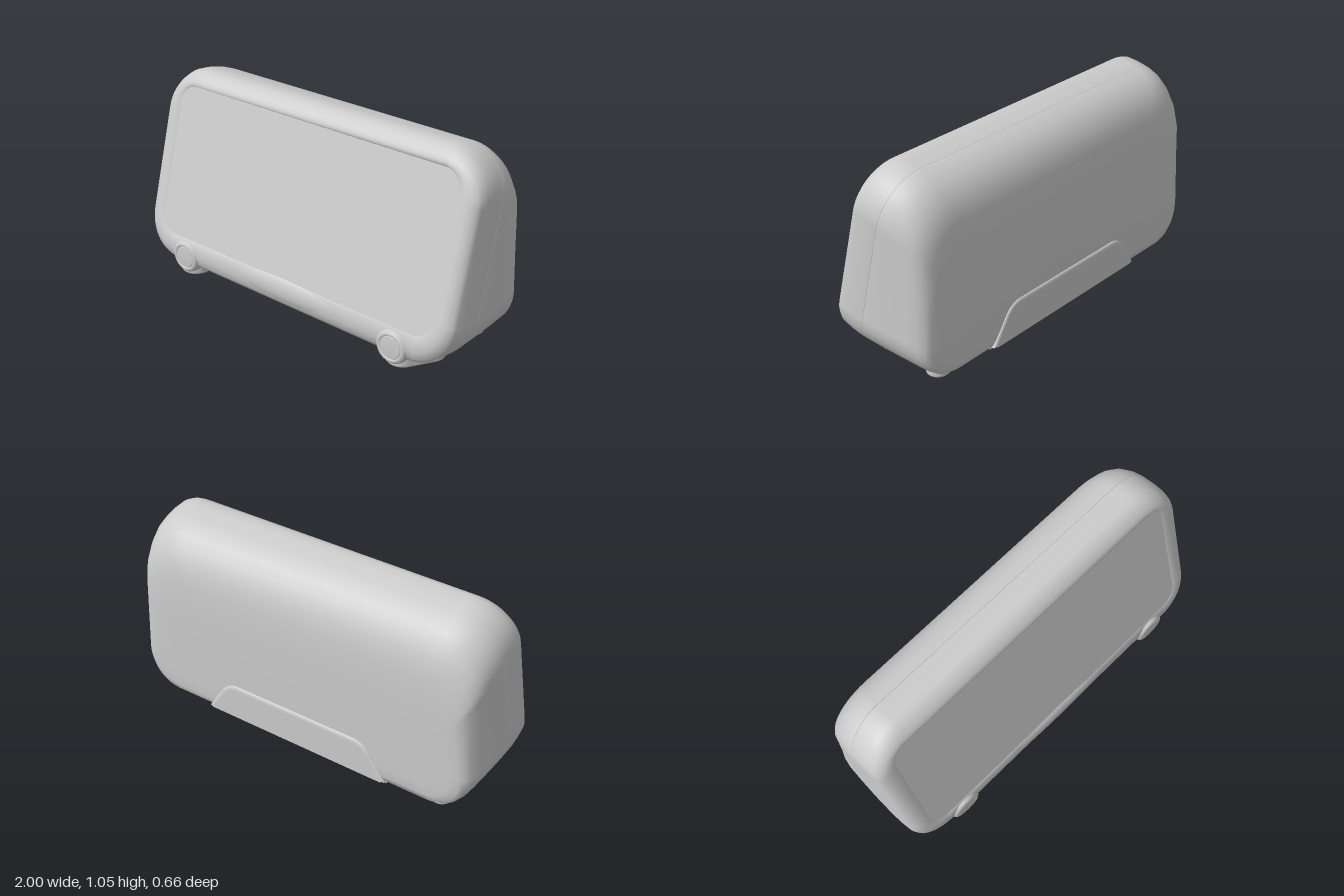
import * as THREE from 'three';

const CORNER = 12; // segments per rounded corner

// Rounded loop on a slanted plane. s: yb,zb = bottom edge; yt,zt = top edge;
// wb,wt = half widths at bottom and top; r = corner radius.
function ring(s) {
  const pts = [];
  const h = s.yt - s.yb;
  const corners = [[1, 1, 0], [-1, 1, 1], [-1, -1, 2], [1, -1, 3]];
  for (const [sx, sy, q] of corners) {
    for (let k = 0; k <= CORNER; k++) {
      const a = (q + k / CORNER) * Math.PI / 2;
      const y = (sy > 0 ? s.yt - s.r : s.yb + s.r) + s.r * Math.sin(a);
      const t = (y - s.yb) / h;
      const w = s.wb + (s.wt - s.wb) * t;
      pts.push([sx * (w - s.r) + s.r * Math.cos(a), y, s.zb + (s.zt - s.zb) * t]);
    }
  }
  return pts;
}

// Skin over loops ordered front to back, with optional end caps
function loft(sections, capFront, capBack) {
  const rings = sections.map(ring);
  const n = rings[0].length;
  const pos = rings.flat(2);
  const idx = [];
  for (let i = 0; i < rings.length - 1; i++) {
    for (let j = 0; j < n; j++) {
      const k = (j + 1) % n;
      const a = i * n + j, b = i * n + k, c = a + n, d = b + n;
      idx.push(a, c, b, b, c, d);
    }
  }
  const cap = (i, front) => {
    const s = sections[i];
    const centre = pos.length / 3;
    pos.push(0, (s.yb + s.yt) / 2, (s.zb + s.zt) / 2);
    for (let j = 0; j < n; j++) {
      const a = i * n + j, b = i * n + (j + 1) % n;
      idx.push(centre, front ? a : b, front ? b : a);
    }
  };
  if (capFront) cap(0, true);
  if (capBack) cap(rings.length - 1, false);
  const g = new THREE.BufferGeometry();
  g.setAttribute('position', new THREE.Float32BufferAttribute(pos, 3));
  g.setIndex(idx);
  g.computeVertexNormals();
  return g;
}

const sec = (yb, zb, yt, zt, wb, wt, r) => ({ yb, zb, yt, zt, wb, wt, r });

// Capsule outline between two points on the ground, extruded upwards
function padGeometry(x0, z0, x1, z1, r, height) {
  const a = Math.atan2(-(z1 - z0), x1 - x0);
  const s = new THREE.Shape();
  s.absarc(x1, -z1, r, a - Math.PI / 2, a + Math.PI / 2, false);
  s.absarc(x0, -z0, r, a + Math.PI / 2, a + Math.PI * 1.5, false);
  s.closePath();
  const b = 0.012;
  const g = new THREE.ExtrudeGeometry(s, {
    depth: height - b, bevelThickness: b, bevelSize: b, bevelOffset: -b, bevelSegments: 3, curveSegments: 12,
  });
  g.rotateX(-Math.PI / 2);
  g.translate(0, b, 0);
  return g;
}

export function createModel() {
  const group = new THREE.Group();
  const mat = new THREE.MeshStandardMaterial({ color: 0xcccccc, side: THREE.DoubleSide });
  const add = (name, geometry, parent = group) => {
    const m = new THREE.Mesh(geometry, mat);
    m.name = name;
    parent.add(m);
    return m;
  };

  // Front shell: bezel around the screen, rolled edge, back to the seam
  add('frontShell', loft([
    sec(0.208, 0.298, 0.969, 0.081, 0.882, 0.882, 0.09),
    sec(0.2, 0.309, 0.976, 0.088, 0.892, 0.892, 0.1),
    sec(0.165, 0.319, 0.992, 0.083, 0.93, 0.93, 0.14),
    sec(0.125, 0.322, 1.008, 0.072, 0.957, 0.957, 0.17),
    sec(0.085, 0.314, 1.027, 0.053, 0.98, 0.98, 0.2),
    sec(0.06, 0.295, 1.042, 0.03, 0.992, 0.992, 0.22),
    sec(0.045, 0.235, 1.052, 0, 0.998, 0.998, 0.23),
    sec(0.038, 0.18, 1.046, -0.05, 1, 1, 0.23),
    sec(0.036, 0.138, 1.031, -0.115, 1, 1, 0.23),
    sec(0.041, 0.136, 1.026, -0.117, 0.995, 0.995, 0.23),
  ]));

  // Rear shell: straight sides and base, crown rolling over into the back
  add('rearShell', loft([
    sec(0.041, 0.136, 1.026, -0.117, 0.995, 0.995, 0.23),
    sec(0.036, 0.134, 1.03, -0.119, 1, 1, 0.23),
    sec(0.036, 0.03, 1.01, -0.17, 1, 0.995, 0.23),
    sec(0.036, -0.09, 0.975, -0.222, 0.998, 0.98, 0.23),
    sec(0.036, -0.19, 0.925, -0.262, 0.996, 0.962, 0.23),
    sec(0.037, -0.25, 0.87, -0.288, 0.99, 0.935, 0.22),
    sec(0.042, -0.288, 0.81, -0.303, 0.98, 0.9, 0.21),
    sec(0.055, -0.308, 0.74, -0.31, 0.96, 0.86, 0.2),
    sec(0.085, -0.315, 0.66, -0.314, 0.92, 0.8, 0.18),
    sec(0.14, -0.317, 0.56, -0.316, 0.82, 0.7, 0.14),
  ], false, true));

  // Slanted screen set just below the bezel
  add('screen', loft([sec(0.205, 0.305, 0.972, 0.086, 0.887, 0.887, 0.095)], true, false));

  // Soft lip below the screen
  const lip = add('frontLip', new THREE.SphereGeometry(1, 48, 24));
  lip.scale.set(0.62, 0.08, 0.05);
  lip.position.set(0, 0.143, 0.277);

  // Rear hatch, a shallow trapezoid with softened corners
  const hatch = new THREE.Shape();
  hatch.moveTo(-0.54, 0.05);
  hatch.lineTo(0.54, 0.05);
  hatch.quadraticCurveTo(0.51, 0.1, 0.45, 0.19);
  hatch.quadraticCurveTo(0.41, 0.245, 0.35, 0.245);
  hatch.lineTo(-0.35, 0.245);
  hatch.quadraticCurveTo(-0.41, 0.245, -0.45, 0.19);
  hatch.quadraticCurveTo(-0.51, 0.1, -0.54, 0.05);
  const hatchGeo = new THREE.ExtrudeGeometry(hatch, {
    depth: 0.02, bevelThickness: 0.01, bevelSize: 0.02, bevelOffset: -0.02, bevelSegments: 3,
  });
  hatchGeo.translate(0, 0, -0.317);
  add('rearHatch', hatchGeo);

  // Base cover between the feet
  const base = add('baseCover', new THREE.BoxGeometry(1.08, 0.02, 0.44));
  base.position.set(0, 0.042, -0.075);

  // Round knob with a grooved face disc
  const knobProfile = [
    [0, 0.128], [0.056, 0.128], [0.058, 0.122], [0.062, 0.122], [0.064, 0.128],
    [0.076, 0.126], [0.086, 0.116], [0.09, 0.1], [0.09, 0],
  ].map(([r, h]) => new THREE.Vector2(r, h)).reverse();

  for (const side of [1, -1]) {
    const corner = new THREE.Group();
    corner.name = side > 0 ? 'leftSupport' : 'rightSupport';
    group.add(corner);
    const knob = add('knob', new THREE.LatheGeometry(knobProfile, 40), corner);
    knob.rotation.x = Math.PI / 2;
    knob.position.set(side * 0.688, 0.105, 0.204);
    add('frontFoot', padGeometry(side * 0.695, 0.235, side * 0.765, 0.115, 0.08, 0.06), corner);
    add('rearFoot', padGeometry(side * 0.665, -0.175, side * 0.795, -0.2, 0.058, 0.06), corner);
  }
  return group;
}
